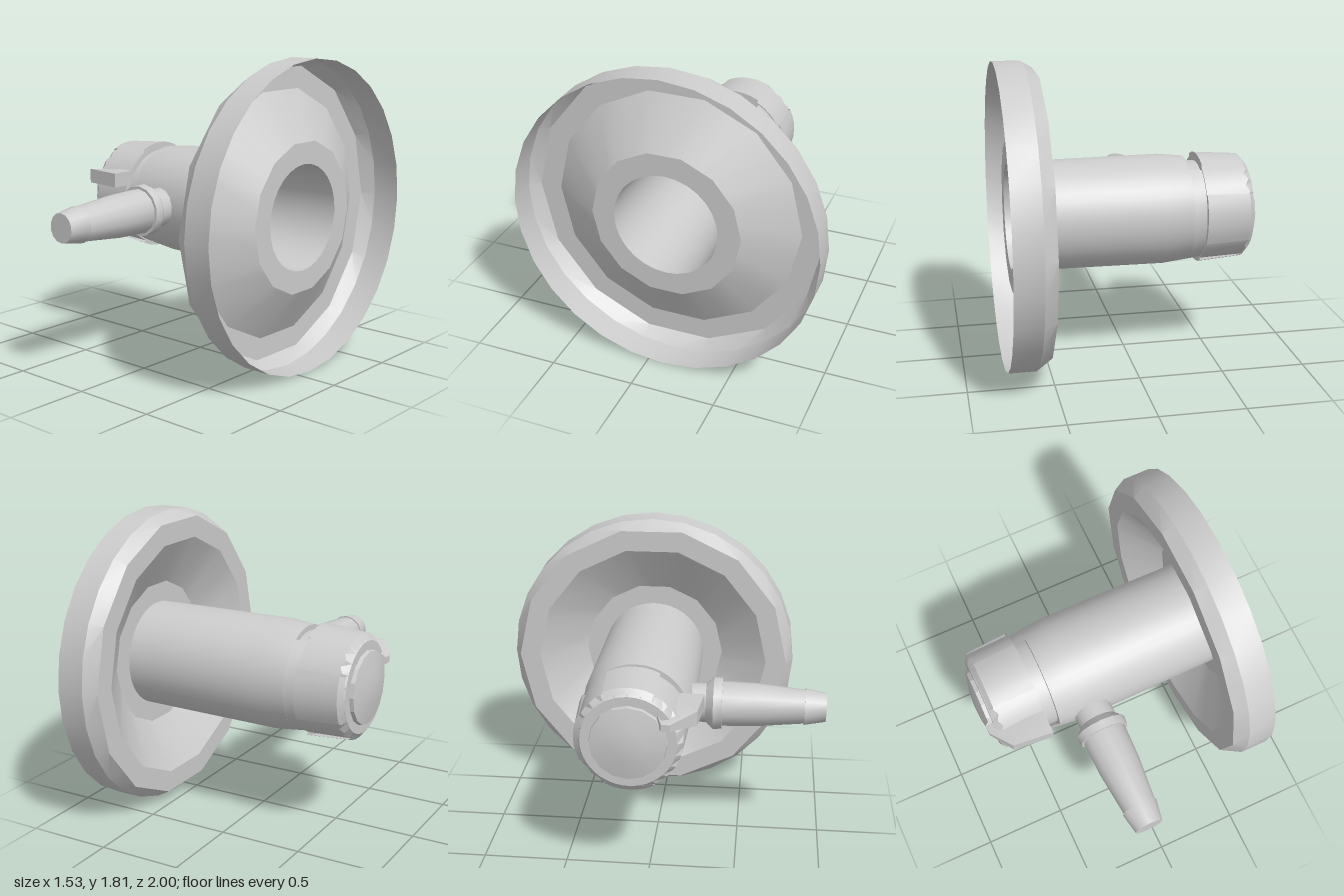
import * as THREE from 'three';
import { toCreasedNormals } from 'three/addons/utils/BufferGeometryUtils.js';

const AXIS_Y = 0.906, AXIS_Z = -0.094;
const material = new THREE.MeshStandardMaterial({ color: 0xcccccc, side: THREE.DoubleSide });
const rad = THREE.MathUtils.degToRad;

// Lathe from [position along axis, radius] pairs
function turn(profile, sides, start = 0, sweep = 360) {
  const points = profile.map(([along, r]) => new THREE.Vector2(r, along));
  return new THREE.LatheGeometry(points, sides, rad(start), rad(sweep));
}

function addMesh(parent, name, geometry, crease = 30) {
  const mesh = new THREE.Mesh(toCreasedNormals(geometry, rad(crease)), material);
  mesh.name = name;
  parent.add(mesh);
  return mesh;
}

// Lay a turned part along the x axis
function addTurned(parent, name, geometry, crease) {
  return addMesh(parent, name, geometry.rotateZ(-Math.PI / 2), crease);
}

export function createModel() {
  const model = new THREE.Group();
  model.name = 'valveCoupling';
  const barrel = new THREE.Group();
  barrel.name = 'barrelAssembly';
  barrel.position.set(0, AXIS_Y, AXIS_Z);
  model.add(barrel);

  // Thin dished flange: round rim, coarser floor and raised hub
  const sides = 28;
  const flange = turn([[0.70, 0.31], [0.70, 0.445], [0.525, 0.735], [0.525, 0.865], [0.6, 0.906], [0.765, 0.906]], sides);
  const p = flange.attributes.position;
  const rings = 6;
  for (let i = 0; i < p.count; i++) {
    const ring = i % rings, column = Math.floor(i / rings);
    if (ring > 0 && ring < 4 && column % 2 === 1) {
      const k = Math.cos(Math.PI / 14);
      p.setX(i, p.getX(i) * k);
      p.setZ(i, p.getZ(i) * k);
    }
  }
  addTurned(barrel, 'flange', flange, 22);

  // Hollow main tube
  addTurned(barrel, 'body', turn([
    [-0.345, 0.28], [-0.345, 0.312], [-0.2, 0.328], [0.525, 0.322], [0.70, 0.32],
    [0.70, 0.31], [-0.345, 0.28],
  ], 40));

  // Collar with a slot over the upper front, and the neck inside it
  addTurned(barrel, 'slottedCollar', turn([
    [-0.42, 0.28], [-0.42, 0.303], [-0.345, 0.312],
  ], 28, 0, 240));
  addTurned(barrel, 'neck', turn([[-0.66, 0.28], [-0.345, 0.28]], 40));

  // Knob with a notched front edge
  const knob = turn([
    [-0.42, 0.28], [-0.42, 0.312], [-0.685, 0.302], [-0.712, 0.27], [-0.712, 0.22], [-0.712, 0],
  ].reverse(), 48);
  const kp = knob.attributes.position;
  for (let i = 0; i < kp.count; i++) {
    const edge = i % 6 === 3;
    if (edge && Math.floor(i / 6) % 2 === 1) kp.setY(i, -0.665);
  }
  addTurned(barrel, 'knob', knob, 25);

  // Raised grip panels on the knob: top, back and bottom
  for (const angle of [90, 180, 270]) {
    addTurned(barrel, 'gripPanel', turn([
      [-0.705, 0.28], [-0.68, 0.311], [-0.42, 0.33], [-0.42, 0.28],
    ], 6, -angle - 27, 54));
  }

  // Domed button on the knob end
  addTurned(barrel, 'endButton', turn([
    [-0.765, 0], [-0.758, 0.1], [-0.735, 0.215], [-0.705, 0.22],
  ], 16), 20);

  // Pointer fin on the knob
  const outline = new THREE.Shape([
    [-0.42, 0.08], [-0.42, 0.305], [-0.66, 0.28], [-0.755, 0.14], [-0.755, 0.09], [-0.7, 0.06],
  ].map(([x, z]) => new THREE.Vector2(x, z)));
  const fin = new THREE.ExtrudeGeometry(outline, { depth: 0.085, bevelEnabled: false });
  fin.rotateX(Math.PI / 2).translate(0, 1.085, 0);
  const fp = fin.attributes.position;
  for (let i = 0; i < fp.count; i++) {
    if (fp.getX(i) < -0.72 && fp.getY(i) > 1.05) fp.setY(i, 1.04);
  }
  addMesh(model, 'pointerFin', fin, 20);

  // Hose spout towards the front
  const spout = turn([
    [0.15, 0.115], [0.3, 0.115], [0.345, 0.155], [0.395, 0.15], [0.395, 0.133], [0.6, 0.127],
    [0.875, 0.1], [0.875, 0.108], [1.0, 0.085], [1.0, 0],
  ], 14);
  const spoutMesh = addMesh(model, 'hoseSpout', spout.rotateX(Math.PI / 2), 28);
  spoutMesh.position.set(-0.135, AXIS_Y, 0);

  return model;
}
